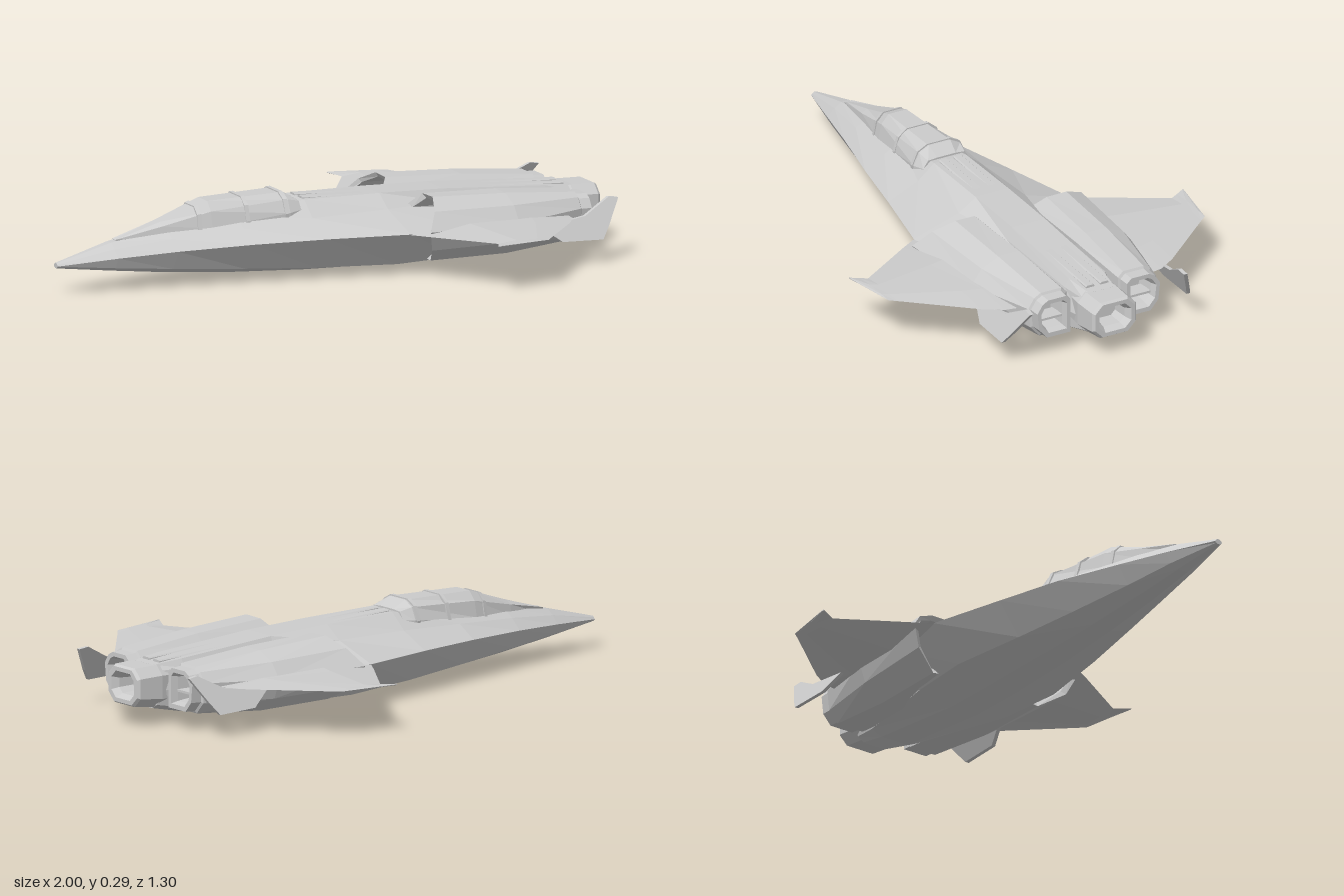
import * as THREE from 'three';

// Skin a list of rings (arrays of [x, y, z]) with flat faces and capped ends
function loft(rings) {
  const v = [], n = rings[0].length;
  const tri = (a, b, c) => v.push(...a, ...b, ...c);
  for (let i = 0; i < rings.length - 1; i++) {
    for (let j = 0; j < n; j++) {
      const k = (j + 1) % n, A = rings[i], B = rings[i + 1];
      tri(A[j], B[j], A[k]);
      tri(A[k], B[j], B[k]);
    }
  }
  const first = rings[0], last = rings[rings.length - 1];
  for (let j = 1; j < n - 1; j++) {
    tri(first[0], first[j], first[j + 1]);
    tri(last[0], last[j + 1], last[j]);
  }
  const g = new THREE.BufferGeometry();
  g.setAttribute('position', new THREE.Float32BufferAttribute(v, 3));
  g.computeVertexNormals();
  return g;
}

// Copy of a non-indexed geometry reflected across the centre plane
function mirrorZ(geo) {
  const g = geo.clone(), p = g.attributes.position;
  for (let i = 0; i < p.count; i += 3) {
    const t = [0, 2, 1].map(k => [geo.attributes.position.getX(i + k),
      geo.attributes.position.getY(i + k), -geo.attributes.position.getZ(i + k)]);
    t.forEach((q, k) => p.setXYZ(i + k, ...q));
  }
  g.computeVertexNormals();
  return g;
}

// Symmetric ring at x from half-section points [z, y], bottom to top
const symRing = (x, half) => [
  ...half.map(([z, y]) => [x, y, z]),
  ...half.slice().reverse().map(([z, y]) => [x, y, -z]),
];

// Chamfered rectangular ring facing along x
function octRing(x, cz, cy, hz, hy, c) {
  return [[-hz + c, -hy], [hz - c, -hy], [hz, -hy + c], [hz, hy - c],
    [hz - c, hy], [-hz + c, hy], [-hz, hy - c], [-hz, -hy + c]]
    .map(([z, y]) => [x, cy + y, cz + z]);
}

export function createModel() {
  const ship = new THREE.Group();
  ship.name = 'spacecraft';
  const hull = new THREE.MeshStandardMaterial({ color: 0xcccccc });
  hull.name = 'hull grey';

  const add = (name, geo) => {
    const m = new THREE.Mesh(geo, hull);
    m.name = name;
    ship.add(m);
  };
  const addPair = (name, geo) => {
    add(name + 'Left', geo);
    add(name + 'Right', mirrorZ(geo));
  };

  // Fuselage: x, then half-section [z, y] from keel through chine to spine
  const stations = [
    [-1, [[.004, .092], [.01, .095], [.015, .1], [.01, .106], [.004, .11]]],
    [-.8, [[.02, .068], [.05, .082], [.068, .118], [.04, .145], [.015, .163]]],
    [-.6, [[.03, .045], [.08, .066], [.118, .132], [.075, .168], [.03, .195]]],
    [-.35, [[.04, .024], [.12, .05], [.185, .145], [.11, .187], [.05, .22]]],
    [-.1, [[.05, .01], [.16, .037], [.24, .15], [.125, .2], [.062, .252]]],
    [.18, [[.055, .001], [.2, .03], [.305, .152], [.13, .205], [.064, .248]]],
    [.42, [[.055, 0], [.18, .03], [.29, .145], [.085, .2], [.064, .24]]],
    [.8, [[.055, .032], [.095, .05], [.1, .12], [.08, .185], [.064, .214]]],
    [.91, [[.045, .055], [.07, .07], [.08, .12], [.07, .185], [.05, .204]]],
  ];
  add('fuselage', loft(stations.map(([x, half]) => symRing(x, half))));

  // Canopy: x, base half-width, base y, top half-width, top y
  const canopyRows = [
    [-.78, .008, .15, .004, .168],
    [-.62, .045, .17, .02, .218],
    [-.45, .075, .19, .035, .276],
    [-.17, .1, .22, .042, .282],
    [-.125, .09, .225, .036, .255],
  ];
  const canopyRing = ([x, w, yb, t, yt], grow = 0) => symRing(x, [
    [w, yb - .03], [w + grow, yb], [(w + t) / 2 + .008 + grow, (yb + yt) / 2 + .012 + grow], [t + grow, yt + grow]]);
  add('canopy', loft(canopyRows.map(r => canopyRing(r))));

  // Canopy frame hoops
  const canopyAt = x => {
    const i = canopyRows.findIndex(r => r[0] >= x), a = canopyRows[i - 1], b = canopyRows[i];
    const t = (x - a[0]) / (b[0] - a[0]);
    return a.map((q, k) => q + (b[k] - q) * t);
  };
  for (const x of [-.5, -.33, -.19]) {
    add('canopyFrame', loft([x, x + .014].map(q => canopyRing(canopyAt(q), .004))));
  }

  // Engine nacelle: recessed raked intake, tapering body, stepped hollow nozzle
  const frontSection = [[.11, .045], [.22, .035], [.31, .09], [.343, .16],
    [.29, .218], [.215, .252], [.14, .25], [.1, .21]];
  const midSection = [[.1, .035], [.215, .032], [.29, .085], [.315, .155],
    [.275, .208], [.21, .238], [.13, .238], [.1, .205]];
  const rearSection = [[.1, .055], [.205, .055], [.24, .095], [.248, .165],
    [.225, .2], [.2, .214], [.12, .214], [.1, .195]];
  const rakeX = y => .235 + Math.max(0, y - .17) * .85 + Math.max(0, .12 - y) * .7;
  const lip = (s, dx) => frontSection.map(([z, y]) => [
    rakeX(y) + dx, .155 + (y - .155) * s, .215 + (z - .215) * s]);
  const flat = (x, sec) => sec.map(([z, y]) => [x, y, z]);
  const inset = (x, s) => flat(x, rearSection.map(([z, y]) => [.172 + (z - .172) * s, .138 + (y - .138) * s]));
  addPair('nacelle', loft([
    lip(.78, .14), lip(.84, .01), lip(1, 0),
    flat(.58, midSection), flat(.845, rearSection),
    inset(.85, .9), inset(.89, .87), inset(.89, .68), inset(.865, .6), inset(.8, .5),
  ]));
  // Horizontal vane inside each side nozzle
  const vane = new THREE.BoxGeometry(.06, .008, .08).toNonIndexed();
  vane.translate(.84, .125, .172);
  addPair('nozzleVane', vane);

  // Central nozzle with a recessed octagonal mouth
  add('centreNozzle', loft([
    octRing(.84, 0, .128, .078, .07, .03),
    octRing(.9, 0, .132, .088, .072, .032),
    octRing(.99, 0, .136, .085, .066, .032),
    octRing(1, 0, .136, .078, .06, .03),
    octRing(1, 0, .136, .062, .046, .024),
    octRing(.975, 0, .136, .05, .034, .018),
    octRing(.92, 0, .136, .045, .03, .016),
  ]));

  // Twin rails along the spine
  const rail = loft([[-.1, .255], [.88, .211]].map(([x, y]) => octRing(x, .028, y - .004, .016, .008, .004)));
  addPair('spineRail', rail);

  // Wings: z, leading x, trailing x, mid y, thickness
  const wingRows = [
    [.2, .14, .8, .148, .05], [.305, .18, .785, .15, .044], [.37, .22, .745, .152, .036],
    [.59, .365, .56, .158, .014], [.615, .353, .542, .16, .01], [.648, .336, .35, .163, .005],
  ];
  addPair('wing', loft(wingRows.map(([z, a, b, y, t]) => {
    const at = f => a + (b - a) * f;
    return [[a, y, z], [at(.35), y + t / 2, z], [at(.75), y + t / 3, z],
      [b, y, z], [at(.75), y - t / 3, z], [at(.35), y - t / 2, z]];
  })));

  // Swept tail fins leaning inward toward the tip
  const outline = [[.65, .135], [.72, .085], [.87, .08], [.9, .12], [.955, .205], [.92, .21], [.82, .158]];
  const fin = new THREE.ExtrudeGeometry(
    new THREE.Shape(outline.map(p => new THREE.Vector2(...p))), { depth: .014, bevelEnabled: false });
  const p = fin.attributes.position;
  for (let i = 0; i < p.count; i++) p.setZ(i, p.getZ(i) + .352 - (p.getY(i) - .08) * .48);
  fin.computeVertexNormals();
  addPair('tailFin', fin);

  return ship;
}
